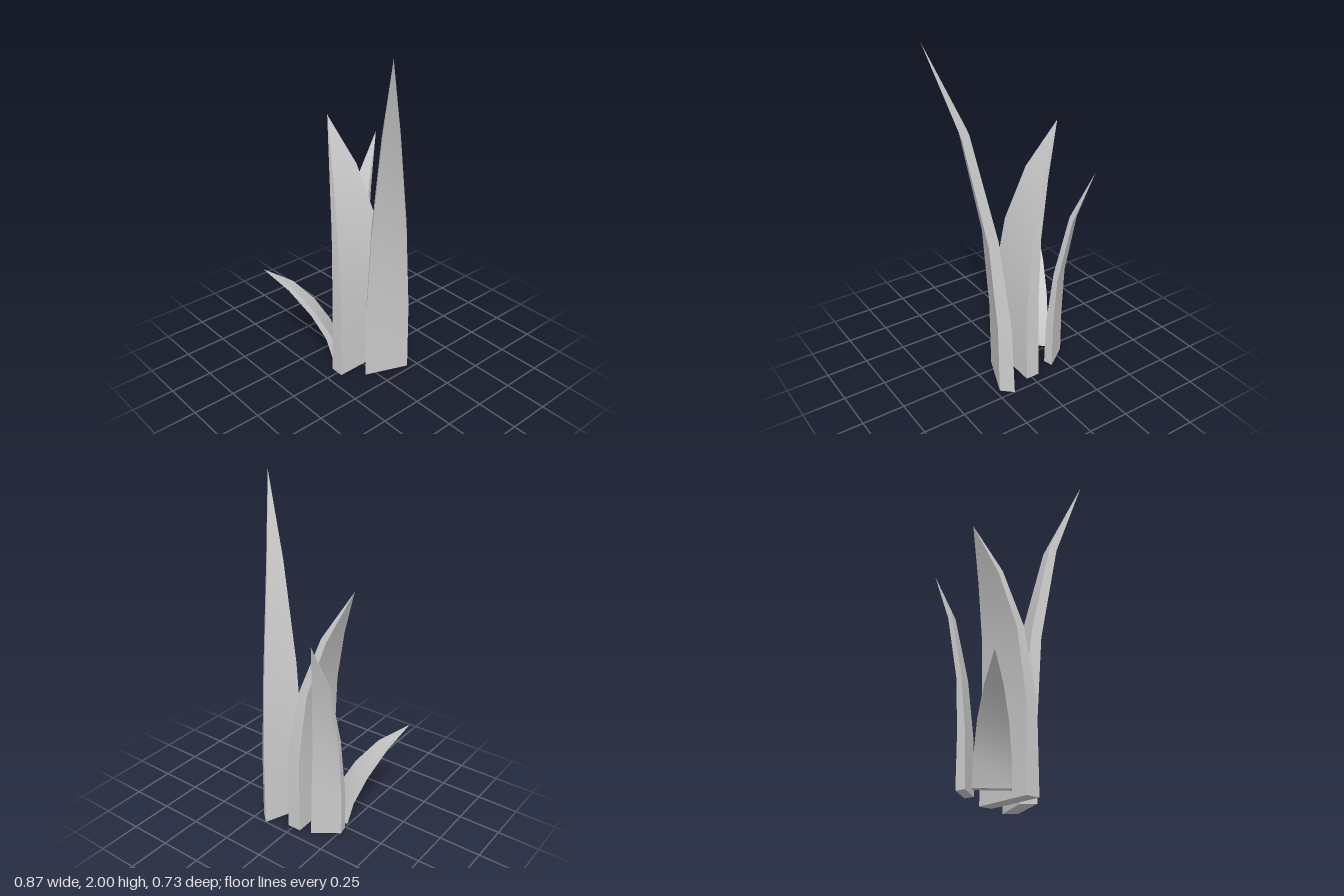
import * as THREE from 'three';
import { toCreasedNormals } from 'three/addons/utils/BufferGeometryUtils.js';

// Each blade: foot = middle of its outer face at the ground, width = edge vector
// across the blade, bend = unit direction it leans towards.
// levels: [outer y, outer lean, inner y, inner lean, width factor]
const blades = [
  { name: 'tallBlade', foot: [0.11, -0.125], width: [0.1, -0.25], bend: [0.735, 0.68],
    levels: [[0, 0, 0, 0.088, 1], [0.44, 0.017, 0.43, 0.095, 0.97], [0.97, 0.08, 0.93, 0.134, 0.77],
      [1.55, 0.215, 1.52, 0.254, 0.38]], tip: [2, 0.437] },
  { name: 'middleBlade', foot: [0.033, -0.01], width: [0, 0.36], bend: [-1, 0],
    levels: [[0, 0, 0, 0.085, 1], [0.51, 0.002, 0.49, 0.078, 0.97], [0.92, 0.063, 0.9, 0.113, 0.8],
      [1.24, 0.165, 1.22, 0.195, 0.48]], tip: [1.51, 0.312] },
  { name: 'backBlade', foot: [-0.199, -0.089], width: [-0.142, 0.103], bend: [-0.24, -0.97],
    levels: [[0.03, 0, 0.03, 0.059, 1], [0.32, 0.008, 0.3, 0.06, 0.97], [0.66, 0.05, 0.62, 0.078, 0.82],
      [1.04, 0.14, 1.01, 0.16, 0.5]], tip: [1.33, 0.285] },
  { name: 'shortBlade', foot: [-0.155, 0.03], width: [0.155, 0.12], bend: [-0.64, 0.77],
    levels: [[0.03, 0, 0.03, 0.045, 1], [0.18, 0.047, 0.165, 0.08, 0.97], [0.345, 0.144, 0.32, 0.165, 0.8],
      [0.49, 0.268, 0.478, 0.292, 0.47]], tip: [0.6, 0.437] },
];

// Loft four-cornered sections along the blade and close it at a point
function bladeGeometry({ foot, width, bend, levels, tip }) {
  const positions = [], index = [];
  const add = (y, lean, side) => positions.push(
    foot[0] + bend[0] * lean + width[0] * side, y, foot[1] + bend[1] * lean + width[1] * side);

  for (const [yOut, out, yIn, inn, w] of levels) {
    add(yOut, out, -w / 2);
    add(yOut, out, w / 2);
    add(yIn, inn, w / 2);
    add(yIn, inn, -w / 2);
  }
  add(tip[0], tip[1], 0);

  const last = levels.length - 1, point = levels.length * 4;
  index.push(0, 1, 2, 0, 2, 3);
  for (let l = 0; l <= last; l++) {
    for (let i = 0; i < 4; i++) {
      const a = l * 4 + i, b = l * 4 + (i + 1) % 4;
      if (l === last) index.push(a, point, b);
      else index.push(a, a + 4, b + 4, a, b + 4, b);
    }
  }
  const geometry = new THREE.BufferGeometry();
  geometry.setAttribute('position', new THREE.Float32BufferAttribute(positions, 3));
  geometry.setIndex(index);
  return toCreasedNormals(geometry, 0.7);
}

export function createModel() {
  const group = new THREE.Group();
  group.name = 'grassTuft';
  const material = new THREE.MeshStandardMaterial({ color: 0xcccccc });
  for (const blade of blades) {
    const mesh = new THREE.Mesh(bladeGeometry(blade), material);
    mesh.name = blade.name;
    group.add(mesh);
  }
  return group;
}
